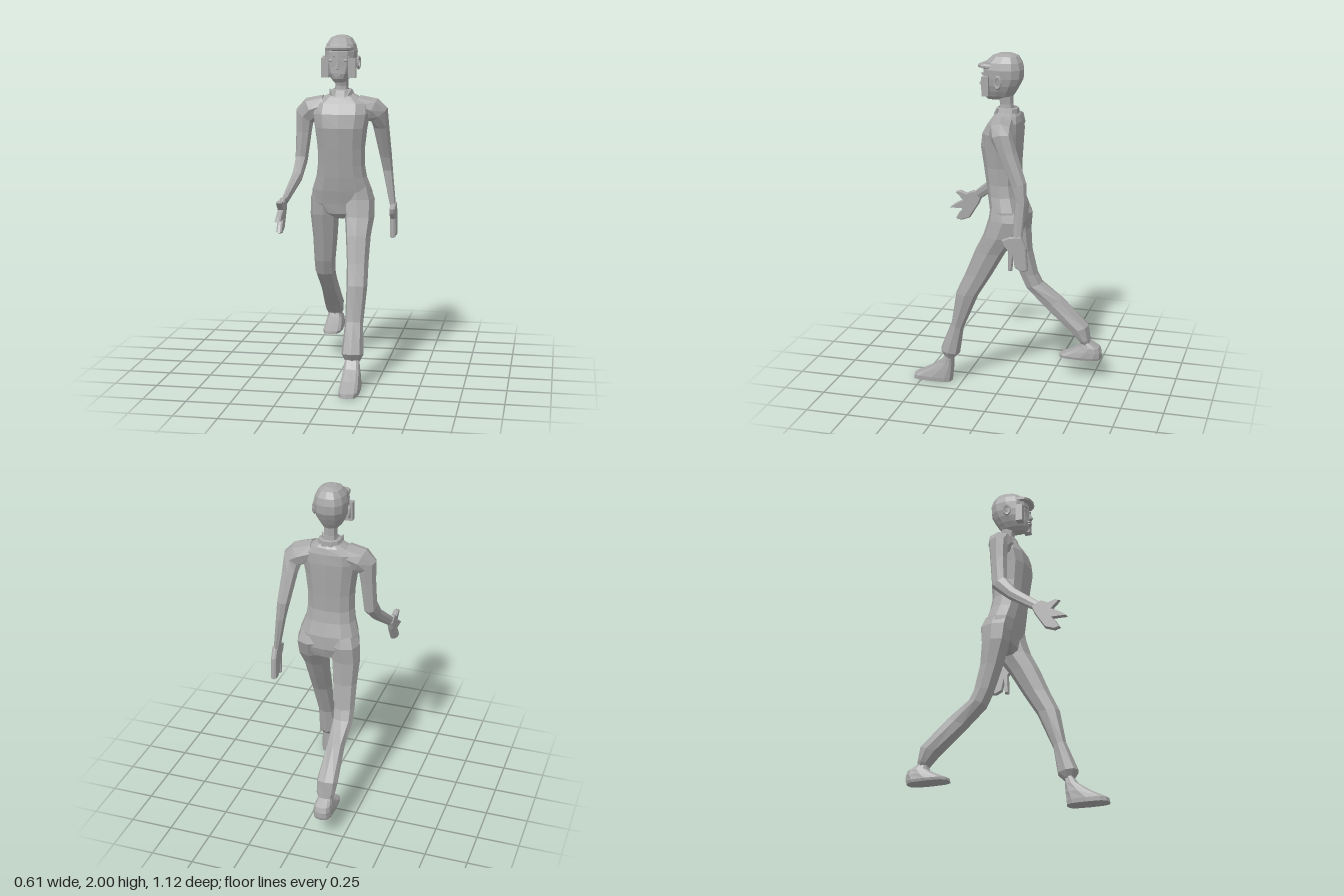
import * as THREE from 'three';

const skin = new THREE.MeshStandardMaterial({ color: 0xa8a8a8, flatShading: true, side: THREE.DoubleSide });
skin.name = 'plain grey';

// Lofts closed sections listed from top to bottom.
// Section: [centreX, halfWidth, frontZ, frontY, backZ, backY, sideTilt]
function loft(sections, sides = 8, power = 0.85, capped = true) {
  const pos = [], index = [];
  const round = v => Math.sign(v) * Math.pow(Math.abs(v), power);
  for (const [cx, hw, zf, yf, zb, yb, tilt = 0] of sections) {
    for (let i = 0; i < sides; i++) {
      const a = (i / sides) * Math.PI * 2;
      const c = round(Math.abs(Math.cos(a)) < 1e-6 ? 0 : Math.cos(a));
      const s = round(Math.abs(Math.sin(a)) < 1e-6 ? 0 : Math.sin(a));
      pos.push(cx + hw * c, (yf + yb) / 2 + s * (yf - yb) / 2 + tilt * c, (zf + zb) / 2 + s * (zf - zb) / 2);
    }
  }
  for (let r = 0; r < sections.length - 1; r++) {
    for (let i = 0; i < sides; i++) {
      const j = (i + 1) % sides, a = r * sides, b = a + sides;
      index.push(a + i, a + j, b + i, a + j, b + j, b + i);
    }
  }
  if (capped) {
    const last = (sections.length - 1) * sides;
    for (let i = 1; i < sides - 1; i++) {
      index.push(0, i + 1, i, last, last + i, last + i + 1);
    }
  }
  const g = new THREE.BufferGeometry();
  g.setAttribute('position', new THREE.Float32BufferAttribute(pos, 3));
  g.setIndex(index);
  g.computeVertexNormals();
  return g;
}

// Level section helper: y, halfWidth, frontZ, backZ
const level = (y, hw, zf, zb, x = 0) => [x, hw, zf, y, zb, y];

// Flat hand cut from a side outline of [z, y] points
function hand(points) {
  const shape = new THREE.Shape(points.map(p => new THREE.Vector2(p[0], p[1])));
  const g = new THREE.ExtrudeGeometry(shape, {
    depth: 0.014, bevelEnabled: true, bevelThickness: 0.009, bevelSize: 0.006, bevelOffset: -0.006, bevelSegments: 1
  });
  g.translate(0, 0, -0.007);
  g.rotateY(-Math.PI / 2);
  return g;
}

export function createModel() {
  const model = new THREE.Group();
  model.name = 'walkingFigure';
  const add = (name, geometry, x = 0, y = 0, z = 0) => {
    const m = new THREE.Mesh(geometry, skin);
    m.name = name;
    m.position.set(x, y, z);
    model.add(m);
    return m;
  };

  // Torso and hips
  add('torso', loft([
    level(1.675, 0.05, 0.05, -0.05), level(1.645, 0.11, 0.075, -0.075), level(1.61, 0.165, 0.1, -0.085),
    level(1.55, 0.17, 0.135, -0.09), level(1.47, 0.155, 0.147, -0.087), level(1.35, 0.14, 0.13, -0.08),
    level(1.25, 0.14, 0.115, -0.077), level(1.18, 0.15, 0.105, -0.09), level(1.1, 0.178, 0.09, -0.115),
    level(1.02, 0.185, 0.07, -0.12), level(0.96, 0.12, 0.06, -0.1), level(0.93, 0.03, 0.03, -0.05)
  ], 12, 0.8));

  // Neck and collar
  add('neck', loft([level(1.77, 0.042, 0.06, -0.035), level(1.71, 0.038, 0.045, -0.035), level(1.65, 0.045, 0.05, -0.045)]));
  add('collar', loft([level(1.69, 0.05, 0.052, -0.055), level(1.685, 0.065, 0.062, -0.065), level(1.645, 0.078, 0.075, -0.068)], 10, 0.85, false));
  for (const s of [-1, 1]) {
    const flap = add('collarFlap', new THREE.ConeGeometry(0.025, 0.05, 4), s * 0.055, 1.675, 0.045);
    flap.rotation.z = -s * 0.5;
  }

  // Head
  add('head', loft([
    level(2.0, 0.03, 0.045, -0.03), level(1.985, 0.062, 0.085, -0.065), level(1.95, 0.086, 0.125, -0.088),
    level(1.91, 0.096, 0.14, -0.098), level(1.86, 0.093, 0.142, -0.095), level(1.82, 0.085, 0.142, -0.075),
    level(1.785, 0.07, 0.145, -0.055), level(1.755, 0.052, 0.138, -0.035), level(1.733, 0.028, 0.12, 0.02)
  ], 12));
  add('fringe', loft([
    level(1.942, 0.078, 0.145, 0.0), level(1.932, 0.082, 0.17, 0.0), level(1.92, 0.082, 0.165, 0.0), level(1.915, 0.08, 0.14, 0.0)
  ], 12, 0.7));

  // Facial features
  const nose = add('nose', new THREE.ConeGeometry(0.017, 0.06, 4), 0, 1.84, 0.146);
  nose.rotation.x = -0.2;
  add('upperLip', new THREE.BoxGeometry(0.045, 0.007, 0.02), 0, 1.787, 0.142);
  add('lowerLip', new THREE.BoxGeometry(0.032, 0.009, 0.02), 0, 1.776, 0.141);
  for (const s of [-1, 1]) {
    const eye = add('eye', new THREE.SphereGeometry(0.016, 8, 6), s * 0.04, 1.86, 0.127);
    eye.scale.set(1.1, 0.6, 0.6);
    const brow = add('brow', new THREE.BoxGeometry(0.045, 0.008, 0.015), s * 0.042, 1.882, 0.132);
    brow.rotation.y = s * 0.35;
    const ear = add('ear', new THREE.TorusGeometry(0.022, 0.008, 5, 10), s * 0.102, 1.845, 0.03);
    ear.scale.set(0.85, 1.4, 1);
    ear.rotation.y = s * (Math.PI / 2 - 0.25);
    add('cheekPlate', new THREE.BoxGeometry(0.045, 0.112, 0.04), s * 0.078, 1.818, 0.107);
  }

  // Left arm swings back, right arm swings forward
  add('leftArm', loft([
    [0.09, 0.02, 0.075, 1.6, -0.07, 1.6, 0.055], [0.18, 0.03, 0.06, 1.57, -0.085, 1.57, 0.065],
    [0.217, 0.048, 0.035, 1.53, -0.09, 1.55, 0.04], [0.222, 0.048, -0.01, 1.46, -0.115, 1.48],
    [0.24, 0.037, -0.09, 1.28, -0.175, 1.31], [0.252, 0.03, -0.115, 1.2, -0.18, 1.2],
    [0.285, 0.018, -0.105, 0.99, -0.165, 0.99]
  ]));
  add('rightArm', loft([
    [-0.09, 0.02, 0.085, 1.6, -0.065, 1.6, -0.055], [-0.18, 0.03, 0.085, 1.57, -0.06, 1.57, -0.065],
    [-0.218, 0.05, 0.075, 1.53, -0.04, 1.53, -0.04], [-0.222, 0.046, 0.07, 1.44, -0.03, 1.44],
    [-0.235, 0.037, 0.075, 1.3, -0.015, 1.25], [-0.245, 0.032, 0.135, 1.215, 0.09, 1.155],
    [-0.286, 0.018, 0.29, 1.085, 0.245, 1.045]
  ]));
  add('leftHand', hand([
    [-0.09, 1.0], [-0.16, 1.01], [-0.19, 0.94], [-0.2, 0.81], [-0.165, 0.8], [-0.125, 0.82], [-0.112, 0.89],
    [-0.107, 0.8], [-0.083, 0.8], [-0.085, 0.915], [-0.055, 0.95], [-0.045, 0.98]
  ]), 0.29).rotation.z = 0;
  add('rightHand', hand([
    [0.297, 1.09], [0.24, 1.06], [0.26, 1.01], [0.32, 0.915], [0.375, 0.895], [0.41, 0.905], [0.386, 0.947],
    [0.365, 0.97], [0.45, 0.97], [0.42, 0.995], [0.365, 1.027], [0.41, 1.074], [0.38, 1.085], [0.34, 1.07]
  ]), -0.291);

  // Left leg steps forward, right leg trails
  add('leftLeg', loft([
    [0.095, 0.075, 0.075, 1.13, -0.1, 1.1], [0.1, 0.092, 0.085, 1.05, -0.128, 1.04], [0.108, 0.088, 0.115, 0.95, -0.085, 0.94],
    [0.11, 0.074, 0.165, 0.85, -0.015, 0.84], [0.118, 0.064, 0.225, 0.7, 0.065, 0.7], [0.125, 0.061, 0.28, 0.58, 0.145, 0.57],
    [0.119, 0.053, 0.315, 0.38, 0.24, 0.35], [0.118, 0.064, 0.385, 0.205, 0.265, 0.185], [0.118, 0.042, 0.352, 0.155, 0.3, 0.15]
  ]));
  add('rightLeg', loft([
    [-0.095, 0.075, 0.07, 1.13, -0.105, 1.1], [-0.1, 0.092, 0.06, 1.05, -0.128, 1.04], [-0.11, 0.086, 0.045, 0.95, -0.118, 0.94],
    [-0.112, 0.074, 0.0, 0.8, -0.125, 0.8], [-0.122, 0.064, -0.045, 0.65, -0.158, 0.65], [-0.125, 0.062, -0.085, 0.56, -0.185, 0.595],
    [-0.124, 0.053, -0.2, 0.44, -0.315, 0.505], [-0.125, 0.063, -0.365, 0.3, -0.475, 0.345],
    [-0.125, 0.055, -0.425, 0.24, -0.485, 0.265], [-0.125, 0.042, -0.435, 0.22, -0.49, 0.235]
  ]));

  // Shoes
  add('leftShoe', loft([
    level(0.17, 0.04, 0.352, 0.308, 0.118), level(0.12, 0.047, 0.39, 0.308, 0.118), level(0.07, 0.054, 0.465, 0.308, 0.12),
    level(0.025, 0.058, 0.555, 0.31, 0.122), level(0, 0.056, 0.56, 0.312, 0.122)
  ], 12, 0.6));
  add('rightShoe', loft([
    level(0.24, 0.04, -0.432, -0.49, -0.125), level(0.21, 0.05, -0.42, -0.545, -0.125), level(0.18, 0.056, -0.37, -0.558, -0.125),
    level(0.148, 0.06, -0.298, -0.56, -0.125), level(0.133, 0.056, -0.295, -0.555, -0.125)
  ], 12, 0.65));

  return model;
}
